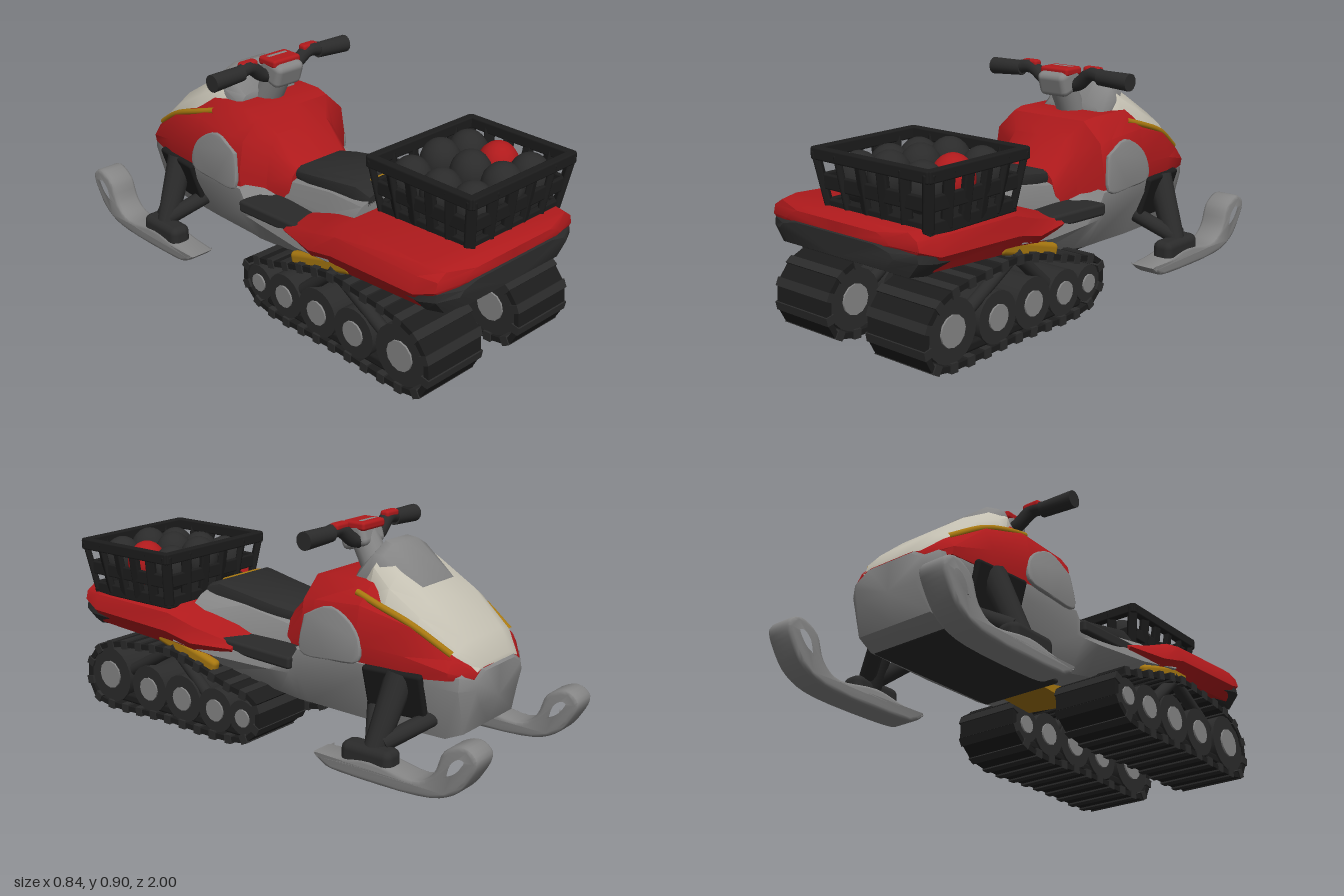
import * as THREE from 'three';
import { toCreasedNormals } from 'three/addons/utils/BufferGeometryUtils.js';
import { RoundedBoxGeometry } from 'three/addons/geometries/RoundedBoxGeometry.js';

const mat = (color) => new THREE.MeshStandardMaterial({ color, roughness: 0.7 });
const V = (x, y, z) => new THREE.Vector3(x, y, z);

export function createModel() {
  const root = new THREE.Group();
  const red = mat(0xb01a1c), dark = mat(0x2b2b2b), grey = mat(0x858585),
    cream = mat(0xc4c0b2), yellow = mat(0xa87810), black = mat(0x1c1c1c);

  function add(name, geo, material, parent = root) {
    const m = new THREE.Mesh(geo, material);
    m.name = name;
    parent.add(m);
    return m;
  }
  function box(name, w, h, d, x, y, z, material, parent = root, r = 0.012) {
    const m = add(name, new RoundedBoxGeometry(w, h, d, 2, r), material, parent);
    m.position.set(x, y, z);
    return m;
  }
  // Straight round bar between two points
  function bar(name, a, b, r0, r1, material, parent = root, sides = 12) {
    const geo = toCreasedNormals(new THREE.CylinderGeometry(r1, r0, a.distanceTo(b), sides), 0.6);
    const m = add(name, geo, material, parent);
    m.position.copy(a).lerp(b, 0.5);
    m.quaternion.setFromUnitVectors(V(0, 1, 0), b.clone().sub(a).normalize());
  }
  function tube(name, points, r, material, parent) {
    add(name, new THREE.TubeGeometry(new THREE.CatmullRomCurve3(points), 16, r, 10), material, parent);
  }
  // Symmetric loft along z; row = z, bottom y, top y, bottom width, mid width, mid y, shoulder width, shoulder y, top width
  function loft(name, rows, material, crease = 0.7) {
    const pos = [], idx = [], n = 10;
    for (const [z, yb, yt, wb, wm, ym, ws, ys, wt] of rows) {
      const half = [[0, yb], [wb, yb], [wm, ym], [ws, ys], [wt, yt], [0, yt]];
      half.forEach(([x, y]) => pos.push(x, y, z));
      for (let i = 4; i > 0; i--) pos.push(-half[i][0], half[i][1], z);
    }
    const last = (rows.length - 1) * n;
    for (let k = 0; k < last; k += n)
      for (let i = 0; i < n; i++) {
        const j = (i + 1) % n;
        idx.push(k + i, k + j, k + n + i, k + j, k + n + j, k + n + i);
      }
    for (let i = 1; i < n - 1; i++) idx.push(0, i + 1, i, last, last + i, last + i + 1);
    const g = new THREE.BufferGeometry();
    g.setAttribute('position', new THREE.Float32BufferAttribute(pos, 3));
    g.setIndex(idx);
    add(name, toCreasedNormals(g, crease), material);
  }
  // Side profile in (z, y), extruded across x
  function sideExtrude(outline, hole, width, bevel, cx) {
    const smooth = (p) => new THREE.SplineCurve([...p, p[0]].map(([z, y]) => new THREE.Vector2(z, y))).getPoints(p.length * 4);
    const s = new THREE.Shape().setFromPoints(smooth(outline));
    if (hole) s.holes.push(new THREE.Path().setFromPoints(smooth(hole)));
    const g = new THREE.ExtrudeGeometry(s, { depth: width - 2 * bevel, bevelThickness: bevel, bevelSize: bevel, bevelOffset: -bevel, bevelSegments: 2 });
    g.rotateY(-Math.PI / 2);
    g.translate(cx + width / 2 - bevel, 0, 0);
    return toCreasedNormals(g, 0.8);
  }

  // Lower hull and nose
  loft('bellyPan', [
    [-0.83, 0.31, 0.43, 0.13, 0.16, 0.37, 0.15, 0.40, 0.10],
    [-0.79, 0.20, 0.46, 0.17, 0.215, 0.37, 0.21, 0.42, 0.15],
    [-0.72, 0.17, 0.45, 0.18, 0.245, 0.38, 0.24, 0.42, 0.18],
    [-0.40, 0.175, 0.45, 0.20, 0.28, 0.36, 0.29, 0.42, 0.2],
    [-0.13, 0.19, 0.45, 0.22, 0.295, 0.32, 0.295, 0.42, 0.2],
    [-0.09, 0.195, 0.40, 0.23, 0.30, 0.32, 0.295, 0.36, 0.2],
    [0.00, 0.21, 0.38, 0.24, 0.31, 0.32, 0.30, 0.35, 0.2],
    [0.25, 0.255, 0.40, 0.27, 0.345, 0.33, 0.335, 0.37, 0.2],
    [0.45, 0.34, 0.42, 0.28, 0.37, 0.36, 0.36, 0.39, 0.2]], grey);
  box('bellyPlate', 0.36, 0.02, 0.62, 0, 0.176, -0.4, dark);
  // Sloping tunnel between the tracks
  loft('tunnel', [
    [-0.12, 0.18, 0.30, 0.1, 0.1, 0.22, 0.1, 0.26, 0.1],
    [0.08, 0.168, 0.32, 0.1, 0.1, 0.22, 0.1, 0.28, 0.1],
    [0.45, 0.325, 0.37, 0.1, 0.1, 0.34, 0.1, 0.36, 0.1]], yellow);

  // Cowl, hood and windscreen
  loft('cowl', [
    [-0.82, 0.40, 0.44, 0.15, 0.16, 0.41, 0.14, 0.43, 0.10],
    [-0.76, 0.41, 0.50, 0.235, 0.24, 0.44, 0.21, 0.48, 0.15],
    [-0.60, 0.40, 0.62, 0.27, 0.28, 0.48, 0.245, 0.58, 0.16],
    [-0.40, 0.40, 0.70, 0.28, 0.295, 0.49, 0.27, 0.63, 0.19],
    [-0.20, 0.38, 0.70, 0.29, 0.295, 0.50, 0.275, 0.62, 0.19],
    [-0.14, 0.36, 0.69, 0.28, 0.285, 0.49, 0.265, 0.61, 0.18],
    [-0.09, 0.36, 0.62, 0.19, 0.19, 0.43, 0.17, 0.57, 0.13],
    [0.02, 0.36, 0.51, 0.17, 0.17, 0.42, 0.15, 0.48, 0.12]], red);
  loft('hood', [
    [-0.82, 0.42, 0.452, 0.13, 0.14, 0.43, 0.12, 0.442, 0.08],
    [-0.76, 0.44, 0.525, 0.19, 0.20, 0.47, 0.18, 0.505, 0.12],
    [-0.62, 0.48, 0.65, 0.22, 0.235, 0.56, 0.21, 0.61, 0.15],
    [-0.48, 0.55, 0.74, 0.21, 0.235, 0.62, 0.20, 0.69, 0.14],
    [-0.39, 0.60, 0.81, 0.19, 0.20, 0.66, 0.17, 0.75, 0.10],
    [-0.35, 0.62, 0.77, 0.16, 0.18, 0.66, 0.15, 0.72, 0.09]], cream);
  loft('windscreen', [
    [-0.56, 0.66, 0.695, 0.12, 0.12, 0.67, 0.11, 0.685, 0.09],
    [-0.41, 0.70, 0.822, 0.155, 0.165, 0.74, 0.14, 0.79, 0.08],
    [-0.37, 0.69, 0.83, 0.165, 0.165, 0.74, 0.14, 0.795, 0.07],
    [-0.29, 0.68, 0.73, 0.15, 0.15, 0.69, 0.12, 0.72, 0.07]], grey, 1);

  // Seat, its base and rear strap
  loft('seatBase', [
    [-0.02, 0.35, 0.46, 0.18, 0.17, 0.40, 0.15, 0.45, 0.12],
    [0.25, 0.35, 0.52, 0.22, 0.20, 0.42, 0.17, 0.50, 0.12],
    [0.45, 0.36, 0.54, 0.32, 0.28, 0.46, 0.20, 0.52, 0.14]], grey);
  loft('seat', [
    [-0.02, 0.46, 0.505, 0.12, 0.125, 0.48, 0.12, 0.495, 0.10],
    [0.10, 0.46, 0.53, 0.14, 0.15, 0.49, 0.145, 0.515, 0.12],
    [0.38, 0.48, 0.58, 0.17, 0.175, 0.53, 0.165, 0.565, 0.13],
    [0.45, 0.48, 0.555, 0.17, 0.17, 0.52, 0.16, 0.545, 0.13]], dark);
  box('seatStrap', 0.2, 0.02, 0.05, 0, 0.566, 0.405, yellow).rotation.x = 0.3;

  // Rear deck and bumper
  loft('rearDeck', [
    [0.17, 0.34, 0.395, 0.31, 0.335, 0.37, 0.31, 0.385, 0.22],
    [0.35, 0.30, 0.46, 0.33, 0.375, 0.37, 0.35, 0.43, 0.24],
    [0.48, 0.335, 0.50, 0.35, 0.385, 0.40, 0.365, 0.47, 0.31],
    [0.88, 0.36, 0.515, 0.35, 0.39, 0.42, 0.375, 0.485, 0.34],
    [0.96, 0.42, 0.51, 0.33, 0.37, 0.45, 0.36, 0.485, 0.32],
    [0.99, 0.45, 0.495, 0.22, 0.26, 0.46, 0.24, 0.48, 0.2]], red);
  loft('rearBumper', [
    [0.76, 0.36, 0.42, 0.33, 0.36, 0.38, 0.36, 0.40, 0.3],
    [0.90, 0.35, 0.46, 0.34, 0.385, 0.40, 0.38, 0.44, 0.3],
    [0.96, 0.355, 0.46, 0.32, 0.365, 0.41, 0.36, 0.44, 0.3],
    [1.00, 0.375, 0.455, 0.24, 0.29, 0.42, 0.27, 0.44, 0.2]], dark);

  // Parts mirrored left and right
  const belt = new THREE.CatmullRomCurve3([[0.9, 0.03], [0.94, 0.09], [0.935, 0.18], [0.86, 0.26], [0.6, 0.305],
    [0.45, 0.31], [0.15, 0.235], [0.02, 0.195], [0, 0.11], [0.07, 0.035], [0.5, 0.022]].map(([z, y]) => V(0, y, z)), true);
  for (const s of [1, -1]) {
    const side = new THREE.Group();
    side.name = s > 0 ? 'leftSide' : 'rightSide';
    root.add(side);

    // Track belt with raised lugs
    const track = new THREE.Group();
    track.name = 'track';
    track.position.x = s * 0.243;
    side.add(track);
    const links = 52, step = belt.getLength() / links;
    for (let i = 0; i < links; i++) {
      const p = belt.getPointAt(i / links), t = belt.getTangentAt(i / links), lug = i % 2 === 0;
      const geo = new THREE.BoxGeometry(lug ? 0.285 : 0.275, lug ? 0.036 : 0.022, step * (lug ? 0.8 : 1.5));
      const link = add(lug ? 'trackLug' : 'trackLink', geo, lug ? dark : black, track);
      link.position.copy(p);
      link.rotation.x = -Math.atan2(t.y, t.z);
    }
    // Road wheels with hubs, slide rail and suspension
    for (const [z, y, r] of [[0.82, 0.145, 0.118], [0.59, 0.128, 0.098], [0.4, 0.128, 0.098], [0.22, 0.12, 0.09], [0.075, 0.12, 0.072]]) {
      bar('roadWheel', V(-0.133, y, z), V(0.133, y, z), r, r, dark, track, 20);
      bar('wheelHub', V(-0.14, y, z), V(0.14, y, z), r * 0.5, r * 0.5, grey, track);
    }
    box('slideRail', 0.25, 0.04, 0.75, 0, 0.055, 0.48, black, track);
    for (const x of [-0.1, 0.1]) {
      bar('suspensionArm', V(x, 0.13, 0.8), V(x, 0.33, 0.45), 0.025, 0.025, dark, track);
      bar('suspensionArm', V(x, 0.13, 0.25), V(x, 0.31, 0.45), 0.025, 0.025, dark, track);
    }

    // Running board, lower trim, cowl side panel and stripe
    box('runningBoard', 0.15, 0.05, 0.36, s * 0.245, 0.37, 0.07, dark).rotation.x = -0.04;
    box('lowerTrim', 0.04, 0.06, 0.32, s * 0.342, 0.325, 0.39, yellow, side, 0.018).rotation.x = -0.28;
    const panel = add('cowlSidePanel', sideExtrude(
      [[-0.16, 0.06], [-0.28, 0.11], [-0.4, 0.04], [-0.42, -0.07], [-0.28, -0.09], [-0.15, -0.08]], null, 0.016, 0.006, 0), grey, side);
    panel.position.set(s * 0.29, 0.5, 0);
    panel.rotation.z = s * 0.1;
    tube('cowlStripe', [V(s * 0.228, 0.665, -0.36), V(s * 0.238, 0.635, -0.46), V(s * 0.232, 0.585, -0.6), V(s * 0.2, 0.495, -0.75)], 0.013, yellow, side);

    // Ski with a looped tip
    add('ski', sideExtrude(
      [[-0.3, 0.09], [-0.34, 0.06], [-0.42, 0.04], [-0.76, 0.04], [-0.9, 0.08], [-0.97, 0.16], [-0.995, 0.23], [-0.94, 0.268], [-0.86, 0.23], [-0.82, 0.14], [-0.74, 0.095], [-0.56, 0.12], [-0.42, 0.1]],
      [[-0.86, 0.125], [-0.92, 0.155], [-0.96, 0.215], [-0.925, 0.235], [-0.88, 0.2]], 0.115, 0.014, s * 0.361), grey, side);
    box('skiSaddle', 0.09, 0.1, 0.22, s * 0.37, 0.115, -0.53, dark, side, 0.03);

    // Front suspension in its recess
    const well = box('suspensionRecess', 0.03, 0.19, 0.24, s * 0.253, 0.33, -0.55, black, side);
    well.rotation.set(0, s * 0.1, -s * 0.3);
    bar('skiStrut', V(s * 0.365, 0.13, -0.54), V(s * 0.25, 0.4, -0.57), 0.042, 0.055, dark, side);
    bar('frontArm', V(s * 0.35, 0.17, -0.57), V(s * 0.18, 0.25, -0.68), 0.032, 0.032, dark, side);
    bar('rearArm', V(s * 0.35, 0.17, -0.53), V(s * 0.2, 0.27, -0.43), 0.032, 0.032, dark, side);

    // Handlebar half
    tube('handlebar', [V(0, 0.8, -0.23), V(s * 0.08, 0.815, -0.23), V(s * 0.155, 0.866, -0.22), V(s * 0.22, 0.858, -0.215)], 0.028, dark, side);
    bar('handGrip', V(s * 0.2, 0.856, -0.215), V(s * 0.35, 0.852, -0.21), 0.031, 0.035, dark, side, 16);
    box('brakeLever', 0.08, 0.03, 0.04, s * 0.16, 0.88, -0.225, red, side);
  }

  // Steering column and instrument pod
  bar('steeringColumn', V(0, 0.66, -0.31), V(0, 0.82, -0.22), 0.06, 0.055, grey);
  box('instrumentPod', 0.14, 0.1, 0.12, 0, 0.825, -0.21, grey, root, 0.025).rotation.x = 0.3;
  box('podCover', 0.14, 0.035, 0.1, 0, 0.865, -0.22, red);

  // Cargo basket, offset to the left of the deck
  const basket = new THREE.Group();
  basket.name = 'cargoBasket';
  root.add(basket);
  const cx = 0.11, cz = 0.69;
  const corner = (i, t) => V(cx + [-1, 1, 1, -1][i % 4] * (0.243 + 0.032 * t), 0.51 + 0.187 * t, cz + [-1, -1, 1, 1][i % 4] * (0.21 + 0.025 * t));
  function slat(name, a, b, w, h) {
    const m = add(name, new RoundedBoxGeometry(w, h, a.distanceTo(b) + w * 0.6, 1, 0.007), black, basket);
    m.position.copy(a).lerp(b, 0.5);
    m.lookAt(b);
  }
  for (let i = 0; i < 4; i++) {
    for (const [t, w, h] of [[0, 0.025, 0.05], [0.47, 0.02, 0.055], [1, 0.035, 0.045]])
      slat('basketRail', corner(i, t), corner(i + 1, t), w, h);
    for (let k = 0; k < 5; k++)
      slat('basketUpright', corner(i, 0).lerp(corner(i + 1, 0), k / 5), corner(i, 1).lerp(corner(i + 1, 1), k / 5), 0.04, 0.026);
  }
  box('basketFloor', 0.48, 0.02, 0.42, cx, 0.512, cz, black, basket);

  // Rounded cargo in three rows
  for (let i = 0; i < 9; i++) {
    const c = add('cargoBall', new THREE.SphereGeometry(0.08, 16, 12), i === 5 ? red : dark, basket);
    c.scale.y = 1.15;
    c.position.set(cx + ((i % 3) - 1) * 0.155, 0.615 + 0.012 * ((i * 5) % 3), cz + (Math.floor(i / 3) - 1) * 0.145);
  }
  return root;
}
